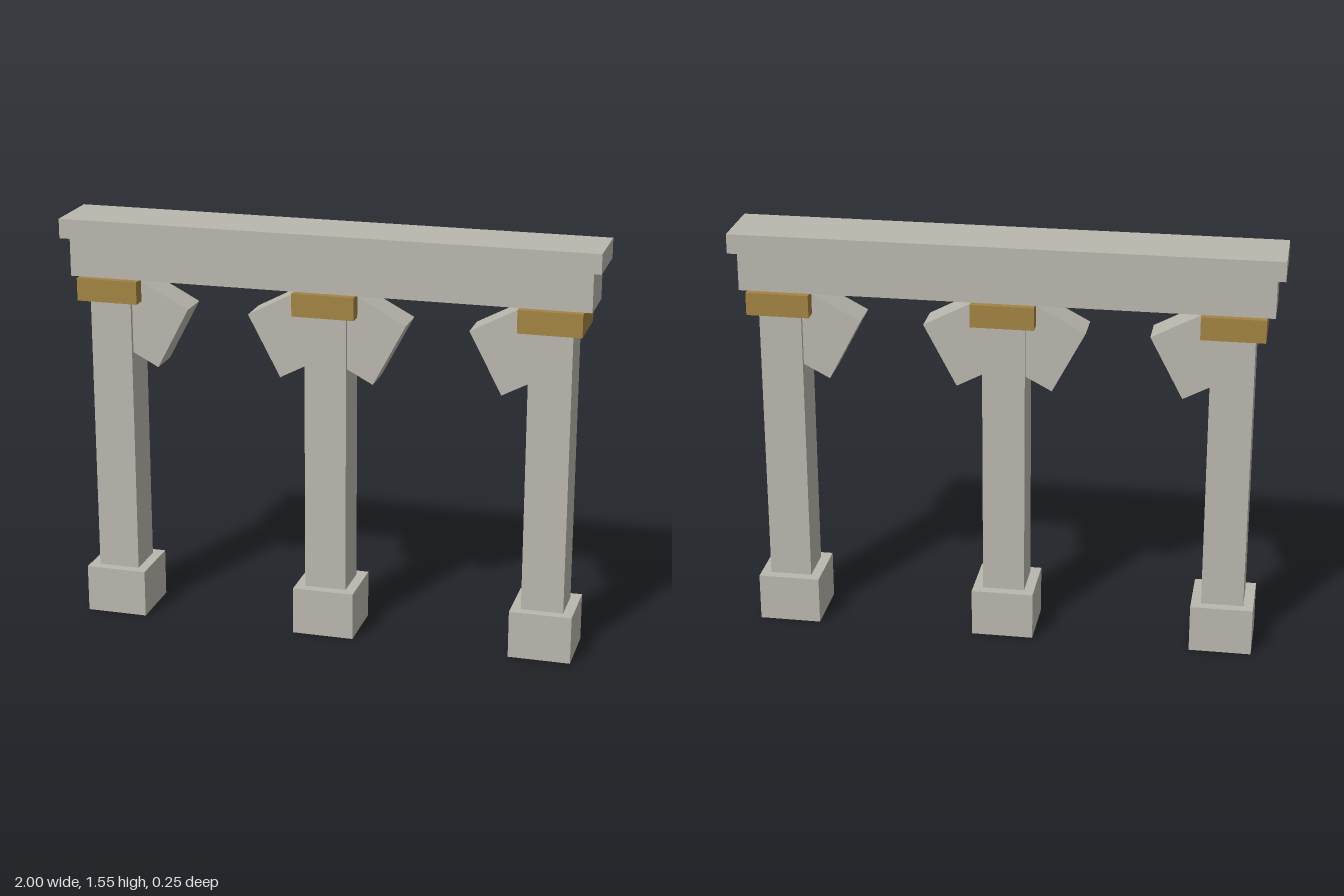
import * as THREE from 'three';

export function createModel() {
  const root = new THREE.Group();
  root.name = 'colonnade';
  const stone = new THREE.MeshStandardMaterial({ color: 0xbab7ae });
  stone.name = 'stone';
  const bronze = new THREE.MeshStandardMaterial({ color: 0xa38341 });
  bronze.name = 'bronze';

  // Box spanning y0..y1, centred on x and z = 0
  function block(parent, name, material, width, depth, y0, y1) {
    const mesh = new THREE.Mesh(new THREE.BoxGeometry(width, y1 - y0, depth), material);
    mesh.name = name;
    mesh.position.y = (y0 + y1) / 2;
    parent.add(mesh);
    return mesh;
  }

  // Tilted knee brace, partly buried in the pillar; side is +1 or -1
  function brace(parent, side) {
    const size = 0.26, tilt = 0.485;
    const mesh = new THREE.Mesh(new THREE.BoxGeometry(size, size, 0.13), stone);
    mesh.name = side > 0 ? 'leftBrace' : 'rightBrace';
    mesh.position.set(side * 0.121, 1.166, 0);
    mesh.rotation.z = -side * tilt;
    parent.add(mesh);
  }

  // Three pillars; the end ones carry a brace on the inner side only
  const pillars = [
    { name: 'rightPillar', x: -0.825, braces: [1] },
    { name: 'middlePillar', x: 0, braces: [-1, 1] },
    { name: 'leftPillar', x: 0.825, braces: [-1] },
  ];
  for (const { name, x, braces } of pillars) {
    const pillar = new THREE.Group();
    pillar.name = name;
    pillar.position.x = x;
    block(pillar, 'base', stone, 0.232, 0.235, 0, 0.18);
    block(pillar, 'shaft', stone, 0.157, 0.16, 0.18, 1.24);
    block(pillar, 'capital', bronze, 0.232, 0.235, 1.24, 1.325);
    braces.forEach((side) => brace(pillar, side));
    root.add(pillar);
  }

  // Lintel beam and the coping on top of it
  block(root, 'beam', stone, 1.94, 0.2, 1.328, 1.474);
  block(root, 'coping', stone, 2, 0.25, 1.474, 1.547);
  return root;
}
